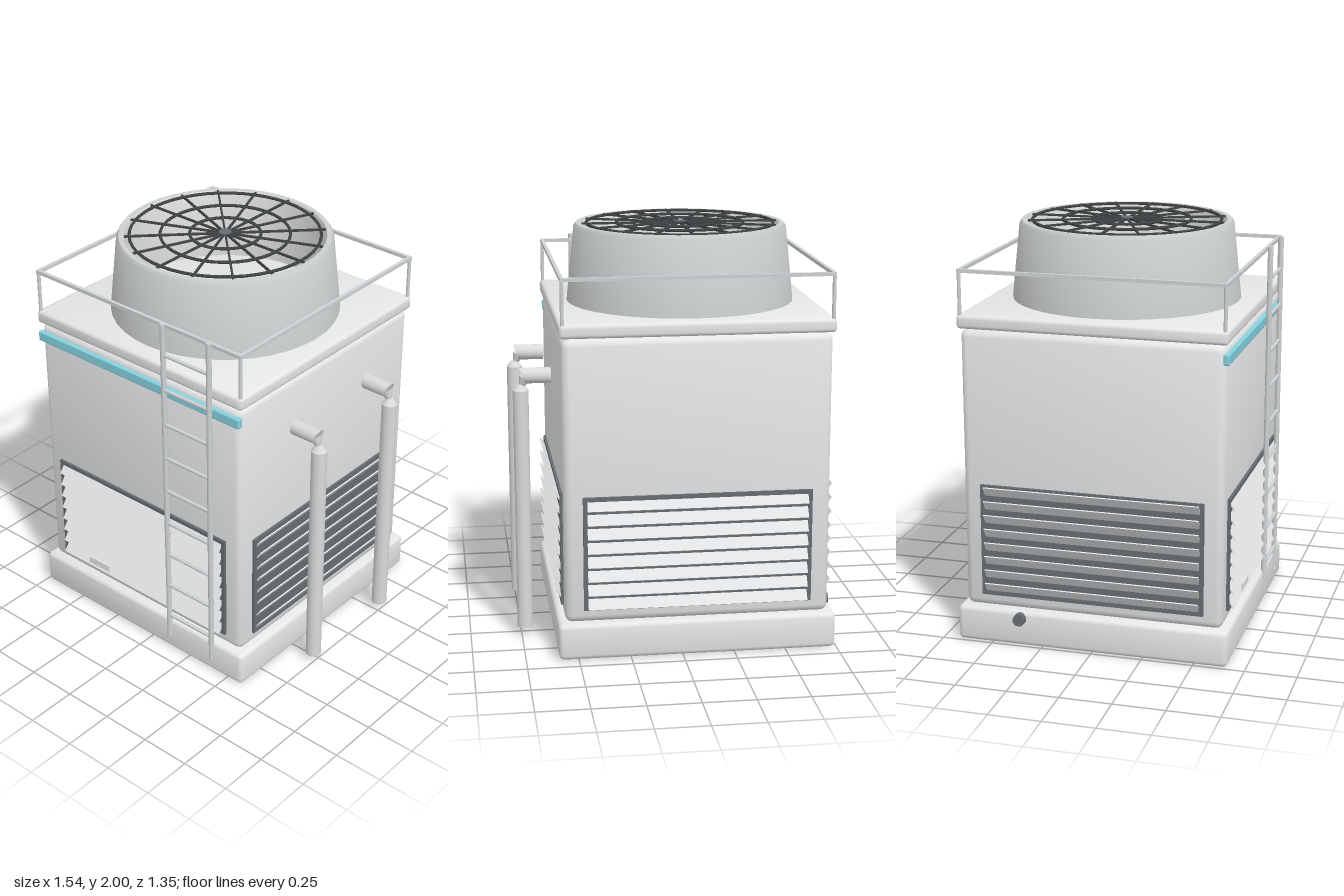
import * as THREE from 'three';
import { RoundedBoxGeometry } from 'three/addons/geometries/RoundedBoxGeometry.js';
import { toCreasedNormals } from 'three/addons/utils/BufferGeometryUtils.js';

const mat = (name, color) => {
  const m = new THREE.MeshStandardMaterial({ color });
  m.name = name;
  return m;
};

export function createModel() {
  const shell = mat('light grey panel', 0xe8eaeb);
  const stackGrey = mat('fan stack grey', 0xcccfd0);
  const steel = mat('steel grey', 0xcfd2d4);
  const pipeGrey = mat('pipe grey', 0xd8dadb);
  const slatGrey = mat('slat grey', 0xe4e6e8);
  const dark = mat('dark grey', 0x696d70);
  const black = mat('grille charcoal', 0x414446);
  const blue = mat('blue stripe', 0x84d2e0);

  const model = new THREE.Group();
  model.name = 'coolingTower';
  const tower = new THREE.Group();
  tower.name = 'tower';
  tower.position.set(-0.075, 0, -0.005);
  model.add(tower);

  const add = (name, geo, material, x = 0, y = 0, z = 0, parent = tower) => {
    const m = new THREE.Mesh(geo, material);
    m.name = name;
    m.position.set(x, y, z);
    parent.add(m);
    return m;
  };
  const group = (name) => {
    const g = new THREE.Group();
    g.name = name;
    tower.add(g);
    return g;
  };
  const box = (w, h, d) => new THREE.BoxGeometry(w, h, d);

  // Rounded box whose normals lean outwards, for softly shaded panels
  const softBox = (w, h, d, r) => {
    const geo = new RoundedBoxGeometry(w, h, d, 3, r);
    const { position, normal } = geo.attributes;
    const n = new THREE.Vector3();
    const out = new THREE.Vector3();
    for (let i = 0; i < normal.count; i++) {
      out.fromBufferAttribute(position, i).divide(new THREE.Vector3(w, h, d)).normalize();
      n.fromBufferAttribute(normal, i).addScaledVector(out, 0.35).normalize();
      normal.setXYZ(i, n.x, n.y, n.z);
    }
    return geo;
  };

  // Basin, casing and roof deck
  add('basin', softBox(1.335, 0.175, 1.335, 0.022), shell, 0, 0.0875);
  add('casing', softBox(1.27, 1.37, 1.27, 0.035), shell, 0, 0.86);
  add('roofDeck', softBox(1.295, 0.067, 1.295, 0.018), shell, 0, 1.582);
  add('blueBand', new RoundedBoxGeometry(1.275, 0.052, 0.03, 3, 0.008), blue, 0, 1.481, 0.639);

  // Open fan stack: outer wall with rim, and lighter inner wall
  const lathe = (points) => toCreasedNormals(
    new THREE.LatheGeometry(points.map(([r, y]) => new THREE.Vector2(r, y)), 40), 0.6);
  add('fanStack', lathe([[0.558, 1.61], [0.52, 1.975], [0.508, 1.993], [0.485, 1.993]]), stackGrey);
  add('fanStackLining', lathe([[0.485, 1.993], [0.48, 1.975], [0.522, 1.61]]), shell);

  // Fan guard: rings, spokes and hub
  const guard = group('fanGuard');
  guard.position.y = 1.991;
  for (const r of [0.17, 0.31, 0.457]) {
    add('guardRing', new THREE.TorusGeometry(r, 0.0075, 6, 48), black, 0, 0, 0, guard).rotation.x = Math.PI / 2;
  }
  for (let i = 0; i < 8; i++) {
    add('guardSpoke', box(0.96, 0.01, 0.009), black, 0, 0, 0, guard).rotation.y = i * Math.PI / 8;
  }
  add('guardHub', new THREE.CylinderGeometry(0.03, 0.03, 0.016, 16), dark, 0, 0, 0, guard);

  // Louvre panel on each of the four sides
  for (let side = 0; side < 4; side++) {
    const g = group('louvrePanel');
    g.rotation.y = side * Math.PI / 2;
    const tilt = side % 2 === 0 ? -0.6 : 0.6;
    add('louvreBacking', box(1.09, 0.55, 0.008), dark, 0, 0.517, 0.634, g);
    for (const s of [-1, 1]) {
      add('frameUpright', box(0.02, 0.555, 0.02), dark, s * 0.537, 0.517, 0.638, g);
      add('frameRail', box(1.094, 0.02, 0.02), dark, 0, 0.517 + s * 0.2675, 0.638, g);
    }
    for (let i = 0; i < 8; i++) {
      add('slat', box(1.054, 0.068, 0.006), slatGrey, 0, 0.275 + i * 0.0692, 0.648, g).rotation.x = tilt;
    }
  }
  add('namePlate', box(0.135, 0.035, 0.009), shell, -0.275, 0.286, 0.669);

  // Guard rail around the roof
  const rail = group('guardRail');
  for (const s of [-1, 1]) {
    add('railBar', box(1.28, 0.017, 0.017), steel, 0, 1.822, s * 0.632, rail);
    add('railBar', box(0.017, 0.017, 1.28), steel, s * 0.632, 1.822, 0, rail);
    for (const t of [-1, 1]) {
      add('railPost', new THREE.CylinderGeometry(0.009, 0.009, 0.225, 10), steel, s * 0.632, 1.715, t * 0.632, rail);
    }
  }

  // Ladder
  const ladder = group('ladder');
  ladder.position.set(0.34, 0, 0.668);
  for (const s of [-1, 1]) {
    add('ladderRail', new THREE.CylinderGeometry(0.0135, 0.0135, 1.78, 12), steel, s * 0.138, 0.96, 0, ladder);
  }
  for (let i = 0; i < 9; i++) {
    add('rung', new THREE.CylinderGeometry(0.0095, 0.0095, 0.276, 10), steel, 0, 0.205 + i * 0.1857, 0, ladder)
      .rotation.z = Math.PI / 2;
  }

  // Two water pipes with pinched elbows
  for (const s of [-1, 1]) {
    const g = group('waterPipe');
    g.position.set(0.807, 0, s * 0.275);
    add('downPipe', new THREE.CylinderGeometry(0.038, 0.038, 1.195, 20), pipeGrey, 0, 0.6375, 0, g);
    add('pipeShoulder', new THREE.CylinderGeometry(0.014, 0.038, 0.03, 20), pipeGrey, 0, 1.25, 0, g);
    add('pipeNeck', new THREE.CylinderGeometry(0.03, 0.014, 0.04, 16), pipeGrey, -0.014, 1.278, 0, g).rotation.z = 0.4;
    // slanted end on the horizontal inlet
    const inlet = new THREE.CylinderGeometry(0.038, 0.038, 0.135, 20).rotateZ(-Math.PI / 2);
    const p = inlet.attributes.position;
    for (let i = 0; i < p.count; i++) {
      if (p.getX(i) > 0) p.setX(i, p.getX(i) + p.getY(i) * 0.4);
    }
    add('inletPipe', toCreasedNormals(inlet, 0.6), pipeGrey, -0.0775, 1.306, 0, g);
  }

  // Drain stub on the side of the basin
  add('drain', new THREE.CylinderGeometry(0.03, 0.03, 0.06, 16), dark, -0.668, 0.14, -0.35).rotation.z = Math.PI / 2;

  return model;
}
